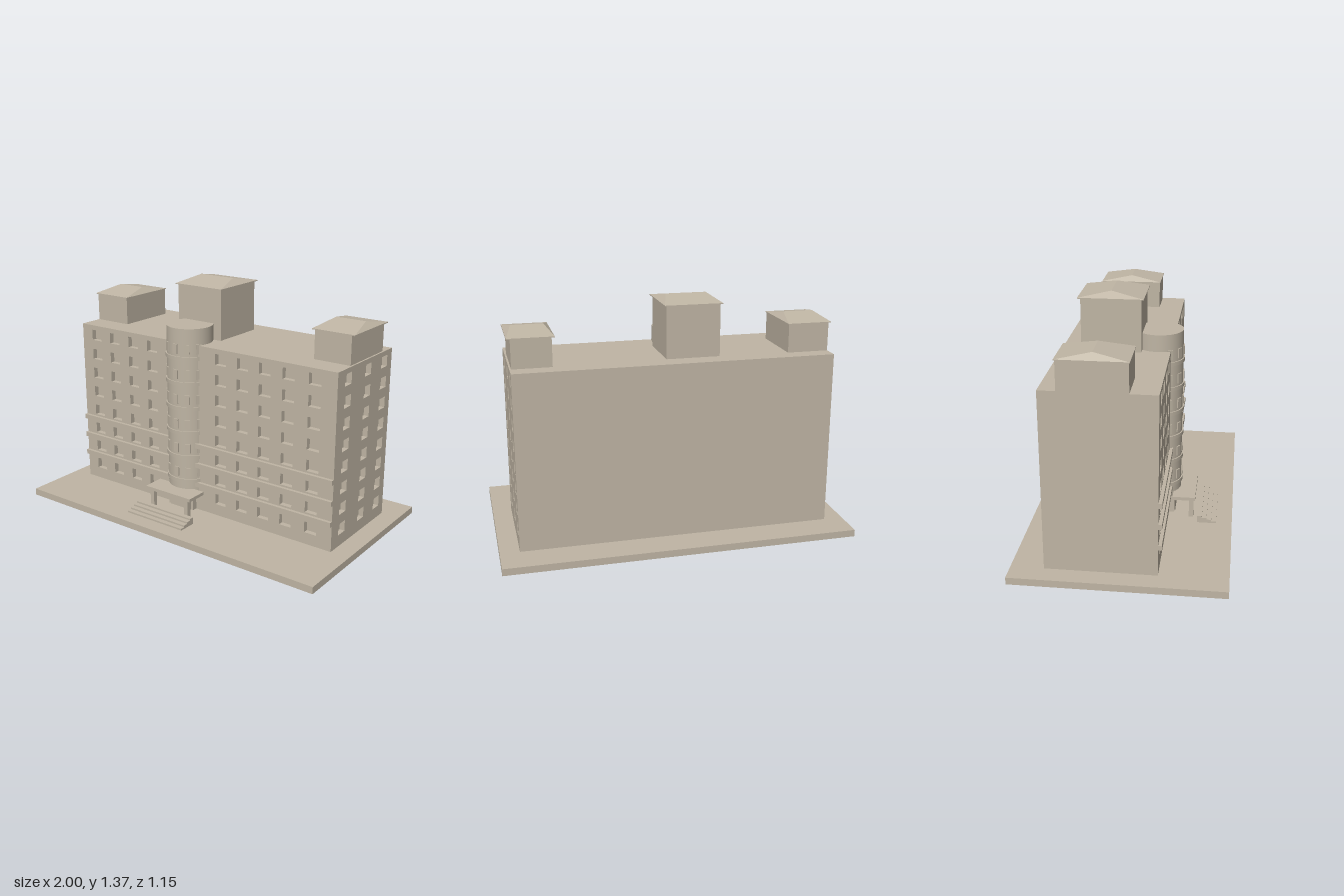
import * as THREE from 'three';

export function createModel() {
  const model = new THREE.Group();
  const stone = new THREE.MeshStandardMaterial({ color: 0xbfb5a4 });
  stone.name = 'warm stone';

  const add = (name, geometry, parent = model) => {
    const mesh = new THREE.Mesh(geometry, stone);
    mesh.name = name;
    parent.add(mesh);
    return mesh;
  };
  const group = (name) => {
    const g = new THREE.Group();
    g.name = name;
    model.add(g);
    return g;
  };
  // Box given by its limits on each axis
  const box = (name, [x0, x1], [y0, y1], [z0, z1], parent) => {
    const mesh = add(name, new THREE.BoxGeometry(x1 - x0, y1 - y0, z1 - z0), parent);
    mesh.position.set((x0 + x1) / 2, (y0 + y1) / 2, (z0 + z1) / 2);
    return mesh;
  };

  const floor = 0.04, top = 1.04, wall = 0.03;
  const left = 0.89, front = 0.205, back = -0.395;

  // Ground slab and solid core of the block
  box('groundSlab', [-1, 1], [0, floor], [-0.575, 0.575]);
  box('buildingCore', [-left, left - wall], [floor, top], [back, front - wall]);

  // Wall slab pierced by eight storeys of windows
  const rows = Array.from({ length: 8 }, (_, i) => 0.14 + i * 0.12);
  const windowWall = (name, u0, u1, columns, width) => {
    const rect = (P, a, b, c, d) => new P()
      .moveTo(a, c).lineTo(b, c).lineTo(b, d).lineTo(a, d).closePath();
    const shape = rect(THREE.Shape, u0, u1, floor, top);
    for (const y of rows) for (const u of columns) {
      shape.holes.push(rect(THREE.Path, u - width / 2, u + width / 2, y - 0.032, y + 0.032));
    }
    return add(name, new THREE.ExtrudeGeometry(shape, { depth: wall, bevelEnabled: false }));
  };
  const frontColumns = [-0.775, -0.63, -0.482, -0.337, 0.158, 0.305, 0.45, 0.599, 0.759];
  windowWall('frontWall', -left, left - wall, frontColumns, 0.075).position.z = front - wall;
  const side = windowWall('leftWall', -front, -back, [-0.095, 0.12, 0.307], 0.07);
  side.rotation.y = Math.PI / 2;
  side.position.x = left - wall;

  // Ledges along the lower storeys
  for (const y of [0.19, 0.31, 0.43]) {
    box('frontLedge', [-left, left], [y, y + 0.028], [front, 0.224]);
  }

  // Hipped roof with a short slope at each end and a ridge along x
  const hipRoof = (width, depth, height, inset) => {
    const g = new THREE.BoxGeometry(width, height, depth).toNonIndexed();
    const p = g.attributes.position;
    for (let i = 0; i < p.count; i++) {
      if (p.getY(i) > 0) {
        p.setX(i, Math.sign(p.getX(i)) * (width / 2 - inset));
        p.setZ(i, 0);
      }
    }
    g.computeVertexNormals();
    return g;
  };
  const penthouse = (name, [x0, x1], [z0, z1], eaves, [e0, e1], [f0, f1], inset) => {
    const g = group(name);
    box('penthouseWalls', [x0, x1], [top, eaves], [z0, z1], g);
    box('eaves', [e0, e1], [eaves, eaves + 0.005], [f0, f1], g);
    const roof = add('hipRoof', hipRoof(e1 - e0, f1 - f0, 0.033, inset), g);
    roof.position.set((e0 + e1) / 2, eaves + 0.0215, (f0 + f1) / 2);
  };
  penthouse('rightPenthouse', [-0.89, -0.655], [-0.3, 0.06], 1.2, [-0.902, -0.65], [-0.305, 0.065], 0.038);
  penthouse('leftPenthouse', [0.663, 0.88], [-0.3, 0.06], 1.2, [0.647, 0.9], [-0.305, 0.065], 0.038);
  penthouse('centrePenthouse', [-0.26, 0.043], [-0.284, 0.047], 1.333, [-0.27, 0.055], [-0.3, 0.06], 0.048);

  // Round stair tower
  const tower = group('stairTower');
  tower.position.set(-0.11, 0, 0.135);
  const drum = (name, radius, y0, y1) => {
    const mesh = add(name, new THREE.CylinderGeometry(radius, radius, y1 - y0, 48), tower);
    mesh.position.y = (y0 + y1) / 2;
  };
  drum('towerShaft', 0.133, 0.15, 1.135);
  for (let i = 0; i < 6; i++) {
    const y = 0.216 + i * 0.1475;
    drum('towerBand', 0.14, y, y + 0.022);
    // Projecting windows fanned around the front
    for (let k = -2; k <= 2; k++) {
      const a = k * Math.PI / 6;
      const w = add('towerWindow', new THREE.BoxGeometry(0.03, 0.055, 0.03), tower);
      w.position.set(Math.sin(a) * 0.124, y + 0.065, Math.cos(a) * 0.124);
      w.rotation.y = a;
    }
  }

  // Entrance: vestibule, door, canopy on posts
  const entrance = group('entrance');
  box('vestibule', [-0.2, -0.02], [floor, 0.15], [0.19, 0.235], entrance);
  box('door', [-0.185, -0.035], [floor, 0.145], [0.235, 0.24], entrance);
  box('canopy', [-0.272, 0.054], [0.156, 0.175], [0.23, 0.36], entrance);
  for (const x of [-0.235, 0.017]) {
    box('canopyPost', [x - 0.013, x + 0.013], [floor, 0.156], [0.324, 0.35], entrance);
  }

  // Front steps
  const steps = group('frontSteps');
  for (let i = 0; i < 4; i++) {
    const z = 0.375 + i * 0.0273;
    box('step', [-0.31, 0.09], [floor, 0.08 - i * 0.01], [z, z + 0.0273], steps);
  }

  return model;
}
